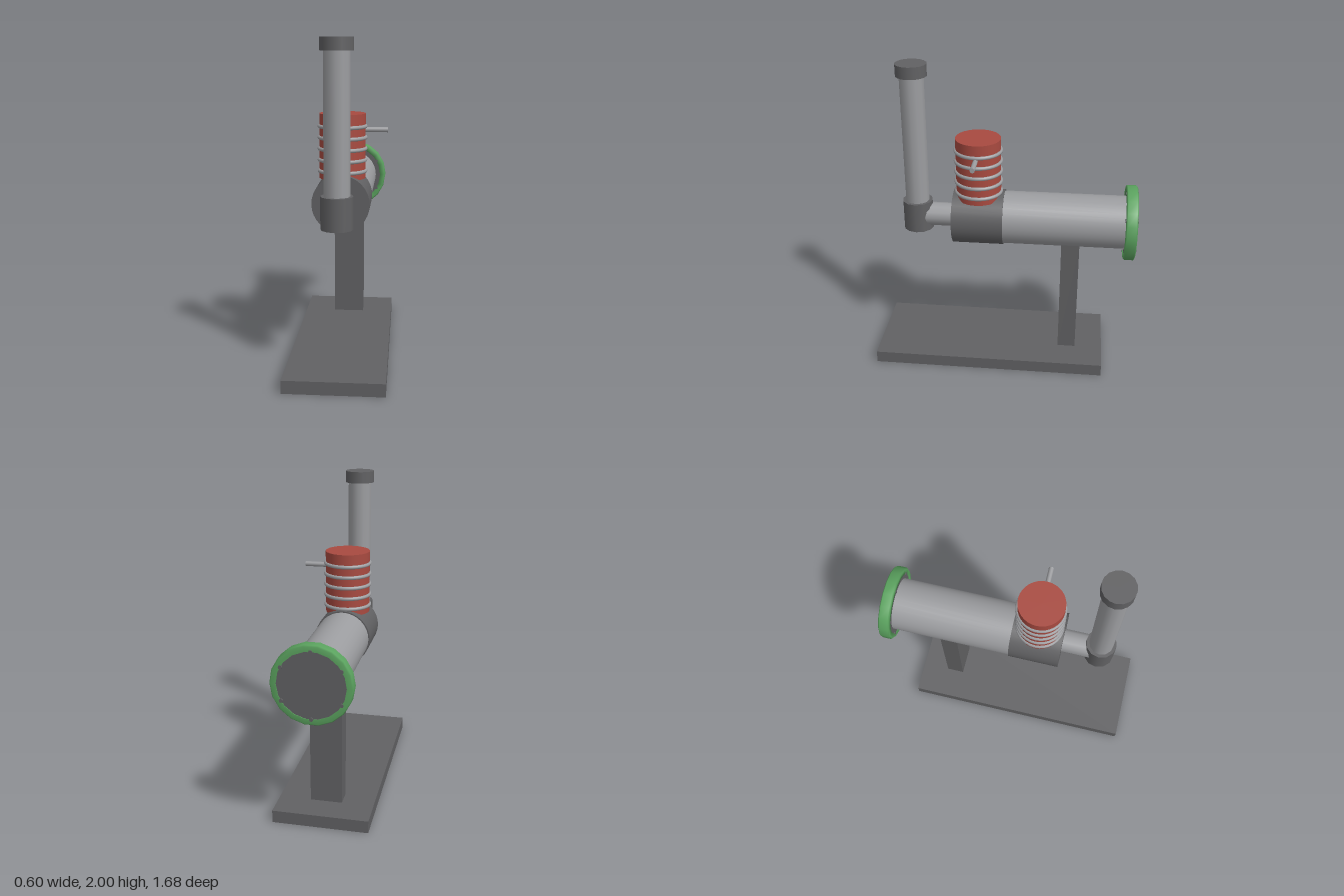
import * as THREE from 'three';

const material = (name, color) => {
  const m = new THREE.MeshStandardMaterial({ color });
  m.name = name;
  return m;
};

export function createModel() {
  const model = new THREE.Group();
  model.name = 'pumpOnStand';
  const dark = material('dark grey', 0x616163);
  const light = material('light grey', 0x9c9da0);
  const red = material('red', 0xa84a40);
  const green = material('green', 0x5ba35f);

  const add = (name, geometry, mat, x, y, z, parent = model) => {
    const mesh = new THREE.Mesh(geometry, mat);
    mesh.name = name;
    mesh.position.set(x, y, z);
    parent.add(mesh);
    return mesh;
  };
  // Upright cylinder between two heights
  const upright = (name, r, y0, y1, z, sides, mat) =>
    add(name, new THREE.CylinderGeometry(r, r, y1 - y0, sides), mat, 0, (y0 + y1) / 2, z);
  // Cylinder lying along z between two depths
  const lying = (name, r, z0, z1, sides, mat, x = 0, y = 1, parent = model) =>
    add(name, new THREE.CylinderGeometry(r, r, z1 - z0, sides).rotateX(Math.PI / 2),
      mat, x, y, (z0 + z1) / 2, parent);

  // Stand
  add('basePlate', new THREE.BoxGeometry(0.6, 0.08, 1.51), dark, 0, 0.04, 0.085);
  add('post', new THREE.BoxGeometry(0.2, 0.79, 0.116), dark, 0, 0.475, -0.432);

  // Main barrel and its housing
  lying('barrel', 0.17, -0.78, 0.01, 32, light);
  lying('housing', 0.178, 0, 0.325, 32, dark);

  // Rear flange: dark plate inside a green rim
  const flange = new THREE.Group();
  flange.name = 'flange';
  model.add(flange);
  lying('flangePlate', 0.207, -0.836, -0.772, 32, dark, 0, 1, flange);
  const profile = [[0.202, -0.036], [0.232, -0.036], [0.24, -0.028], [0.24, 0.028],
    [0.232, 0.036], [0.202, 0.036], [0.202, -0.036]].map(p => new THREE.Vector2(...p));
  const rim = add('flangeRim', new THREE.LatheGeometry(profile, 18).rotateX(Math.PI / 2),
    green, 0, 1, -0.804, flange);
  rim.rotation.z = Math.PI / 18;
  for (let i = 0; i < 6; i++) {
    const a = Math.PI / 2 + i * Math.PI / 3;
    lying('flangeBolt', 0.012, -0.845, -0.764, 8, dark,
      0.2 * Math.cos(a), 1 + 0.2 * Math.sin(a), flange);
  }

  // Red canister with ribs and side handle
  upright('canister', 0.143, 1.14, 1.54, 0.165, 32, red);
  for (let i = 0; i < 5; i++) {
    add('canisterRib', new THREE.TorusGeometry(0.143, 0.012, 8, 32).rotateX(Math.PI / 2),
      light, 0, 1.185 + i * 0.069, 0.165);
  }
  add('handle', new THREE.CylinderGeometry(0.016, 0.016, 0.16, 10).rotateZ(Math.PI / 2),
    light, 0.2, 1.44, 0.165);

  // Front pipework
  lying('linkPipe', 0.076, 0.3, 0.53, 12, light);
  upright('elbow', 0.097, 0.905, 1.1, 0.565, 12, dark);
  upright('standPipe', 0.077, 1.09, 1.94, 0.565, 12, light);
  upright('pipeCap', 0.097, 1.925, 2, 0.565, 16, dark);

  return model;
}
